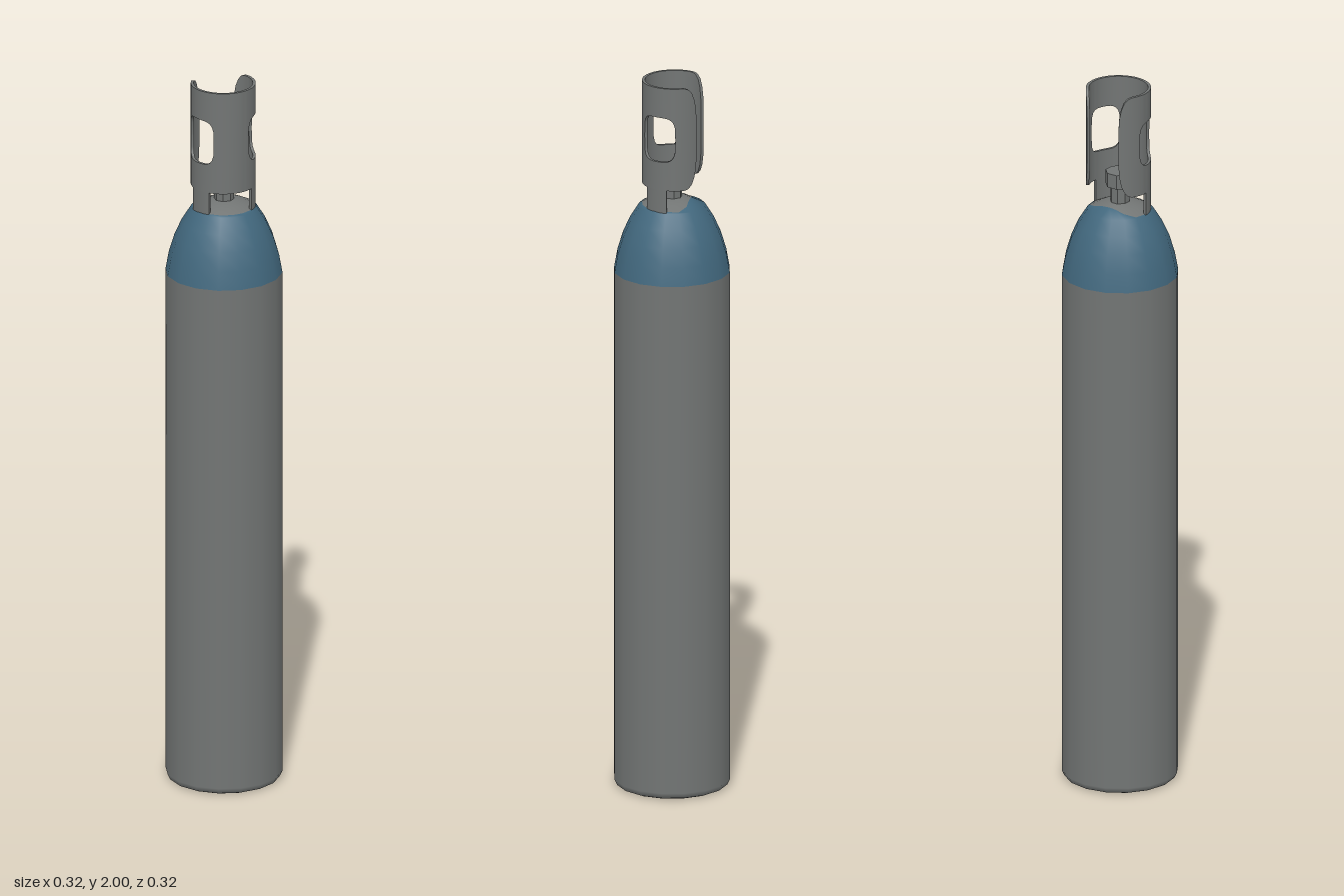
import * as THREE from 'three';
import { toCreasedNormals } from 'three/addons/utils/BufferGeometryUtils.js';

const V = (x, y) => new THREE.Vector2(x, y);
const rad = THREE.MathUtils.degToRad;

// Height of the shoulder at a given radius
const DOME = [[0, 1.67], [0.03, 1.668], [0.06, 1.66], [0.09, 1.645], [0.115, 1.605], [0.135, 1.56], [0.15, 1.51], [0.159, 1.46]];
function domeY(r) {
  for (let i = 1; i < DOME.length; i++) {
    const [r0, y0] = DOME[i - 1], [r1, y1] = DOME[i];
    if (r <= r1) return y0 + (y1 - y0) * (r - r0) / (r1 - r0);
  }
  return 1.46;
}

// Radius of the bare metal crown, cut short towards the back
const crownEdge = (c) => (c < 0 ? Math.min(0.085, 0.049 / -c) : 0.082);

// Lathe whose inner rings (r <= 0.085) follow the crown edge
function shoulder(radii) {
  const g = new THREE.LatheGeometry(radii.map((r) => V(r, domeY(r))), 16);
  const p = g.attributes.position;
  for (let i = 0; i < p.count; i++) {
    const x = p.getX(i), z = p.getZ(i), r = Math.hypot(x, z);
    if (r < 1e-6 || r > 0.0851) continue;
    const k = crownEdge(z / r) / 0.085;
    p.setXYZ(i, x * k, domeY(r * k), z * k);
  }
  return g;
}

// Curved slab between two angles (degrees from the front), with bottom and top given by rules
function curvedPanel(a0, a1, lower, upper) {
  const R = 0.088, T = 0.008, CZ = -0.007;
  const n = Math.max(4, Math.ceil((a1 - a0) / 5));
  const pos = [], idx = [];
  for (let i = 0; i <= n; i++) {
    // Denser columns near both ends keep rounded corners clean
    const t = (1 - Math.cos(Math.PI * i / n)) / 2;
    const a = a0 + (a1 - a0) * t, s = Math.sin(rad(a)), c = Math.cos(rad(a));
    const lo = lower(a), hi = upper(a);
    for (const [r, y] of [[R, lo], [R, hi], [R - T, hi], [R - T, lo]]) pos.push(r * s, y, r * c + CZ);
  }
  for (let i = 0; i < n; i++) {
    for (let j = 0; j < 4; j++) {
      const a = i * 4 + j, b = i * 4 + (j + 1) % 4, c = a + 4, d = b + 4;
      idx.push(a, c, d, a, d, b);
    }
  }
  const e = n * 4;
  idx.push(0, 1, 2, 0, 2, 3, e, e + 2, e + 1, e, e + 3, e + 2);
  const g = new THREE.BufferGeometry();
  g.setAttribute('position', new THREE.Float32BufferAttribute(pos, 3));
  g.setIndex(idx);
  return toCreasedNormals(g, rad(40));
}

export function createModel() {
  const grey = new THREE.MeshStandardMaterial({ name: 'grey metal', color: 0x727574 });
  const blue = new THREE.MeshStandardMaterial({ name: 'blue paint', color: 0x42687e });
  const model = new THREE.Group();
  model.name = 'gasCylinder';
  const add = (name, geometry, material, parent = model) => {
    const m = new THREE.Mesh(geometry, material);
    m.name = name;
    parent.add(m);
    return m;
  };

  // Tank with a small bevelled foot
  add('tankBody', new THREE.LatheGeometry(
    [V(0, 0), V(0.14, 0), V(0.152, 0.005), V(0.159, 0.02), V(0.159, 1.46)], 16), grey);

  // Painted shoulder and bare crown
  add('shoulder', shoulder([0.159, 0.15, 0.135, 0.115, 0.09, 0.085]), blue);
  add('crown', shoulder([0.085, 0.06, 0.03, 0]), grey);

  // Valve: thin neck and octagonal head
  const valve = new THREE.Group();
  valve.name = 'valve';
  model.add(valve);
  const octagon = (r, h) => toCreasedNormals(new THREE.CylinderGeometry(r, r, h, 8).rotateY(Math.PI / 8), 0.5);
  add('valveNeck', octagon(0.027, 0.08), grey, valve).position.y = 1.69;
  add('valveHead', octagon(0.04, 0.04), grey, valve).position.y = 1.735;

  // Valve guard: open-backed collar with a rounded window on each side
  const guard = new THREE.Group();
  guard.name = 'valveGuard';
  model.add(guard);
  const BOTTOM = 1.71, TOP = 2, MID = 1.853;
  const W0 = 34, W1 = 102, END = 143;
  const bottom = () => BOTTOM, top = () => TOP;
  const windowHalf = (a) => {
    const t = Math.min(1, Math.abs((a - (W0 + W1) / 2) / ((W1 - W0) / 2)));
    return 0.063 * Math.pow(1 - t ** 4, 0.25);
  };
  const endRound = (a) => {
    const t = Math.min(1, Math.max(0, (a - 112) / (END - 112)));
    return 0.35 + 0.65 * Math.sqrt(1 - t ** 3);
  };
  add('guardFront', curvedPanel(-W0, W0, bottom, top), grey, guard);
  const sidePanels = [
    ['guardUpperRail', W0, W1, (a) => MID + windowHalf(a), top],
    ['guardLowerRail', W0, W1, bottom, (a) => MID - windowHalf(a)],
    ['guardRearEdge', W1, END, (a) => MID - (MID - BOTTOM) * endRound(a), (a) => MID + (TOP - MID) * endRound(a)],
    ['guardLeg', 43, 86, () => 1.64, bottom],
  ];
  for (const [name, a0, a1, lo, hi] of sidePanels) {
    add(name + 'Left', curvedPanel(a0, a1, lo, hi), grey, guard);
    add(name + 'Right', curvedPanel(-a1, -a0, (a) => lo(-a), (a) => hi(-a)), grey, guard);
  }
  return model;
}
